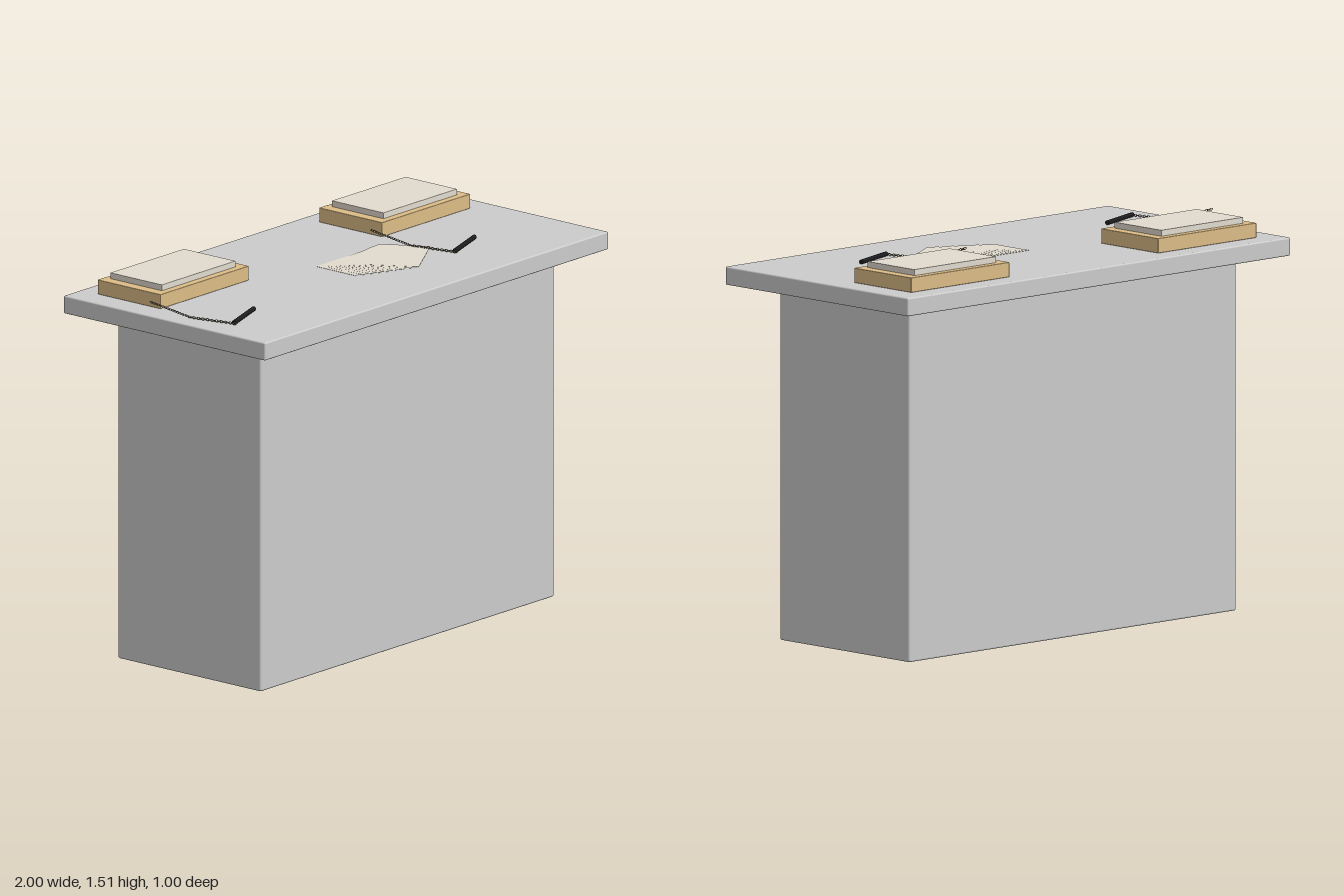
import * as THREE from 'three';
import { RoundedBoxGeometry } from 'three/addons/geometries/RoundedBoxGeometry.js';

const mat = (color) => new THREE.MeshStandardMaterial({ color });
const TOP = 1.43; // height of the counter surface

export function createModel() {
  const model = new THREE.Group();
  model.name = 'counter';
  const grey = mat(0xcccccc);
  const wood = mat(0xdcbc86);
  const paper = mat(0xe2dccf);
  const black = mat(0x1c1c1e);
  const brass = mat(0x77705a);

  // Box given by its limits, with slightly eased edges
  function block(name, material, x0, x1, y0, y1, z0, z1, r, parent = model) {
    const geo = r > 0
      ? new RoundedBoxGeometry(x1 - x0, y1 - y0, z1 - z0, 2, r)
      : new THREE.BoxGeometry(x1 - x0, y1 - y0, z1 - z0);
    const mesh = new THREE.Mesh(geo, material);
    mesh.position.set((x0 + x1) / 2, (y0 + y1) / 2, (z0 + z1) / 2);
    mesh.name = name;
    parent.add(mesh);
    return mesh;
  }

  // Body and overhanging top
  block('body', grey, -0.855, 0.855, 0, 1.36, -0.355, 0.355, 0.008);
  block('counterTop', grey, -1, 1, 1.36, TOP, -0.5, 0.5, 0.006);

  // Wooden trays, each holding a stack of paper
  for (const side of [-1, 1]) {
    const tray = new THREE.Group();
    tray.name = side > 0 ? 'leftTray' : 'rightTray';
    tray.position.x = side * 0.645;
    block('trayBase', wood, -0.257, 0.257, TOP, 1.487, -0.415, -0.102, 0.003, tray);
    block('paperStack', paper, -0.214, 0.214, 1.486, 1.51, -0.387, -0.132, 0, tray);
    model.add(tray);
  }

  // Pens, each on a chain of small links
  const linkGeo = new THREE.TorusGeometry(0.0045, 0.0014, 5, 8).scale(1.35, 1, 1);
  const penDir = new THREE.Vector3(0.2, 0, -0.07).normalize();
  for (const x of [-0.89, 0.395]) {
    const set = new THREE.Group();
    set.name = 'penOnChain';
    set.position.set(x, 0, 0);

    const pen = new THREE.Mesh(new THREE.CylinderGeometry(0.009, 0.009, 0.208, 10), black);
    pen.name = 'pen';
    pen.position.set(0.1, TOP + 0.009, 0.216);
    pen.quaternion.setFromUnitVectors(new THREE.Vector3(0, 1, 0), penDir);
    set.add(pen);

    const path = new THREE.CurvePath();
    const pts = [[0.002, 1.437, 0.255], [-0.042, 1.437, 0.07], [-0.108, 1.485, -0.065]]
      .map((p) => new THREE.Vector3(...p));
    path.add(new THREE.LineCurve3(pts[0], pts[1]));
    path.add(new THREE.LineCurve3(pts[1], pts[2]));
    const count = 36;
    for (let i = 0; i <= count; i++) {
      const link = new THREE.Mesh(linkGeo, brass);
      link.name = 'chainLink';
      link.position.copy(path.getPoint(i / count));
      link.quaternion.setFromUnitVectors(new THREE.Vector3(1, 0, 0), path.getTangent(i / count));
      link.rotateX(i % 2 ? Math.PI / 2 : 0);
      set.add(link);
    }
    model.add(set);
  }

  // Loose sheets spread in a fan
  const fan = new THREE.Group();
  fan.name = 'looseSheets';
  const sheetGeo = new THREE.BoxGeometry(0.285, 0.001, 0.195);
  const sheets = 9;
  for (let i = 0; i < sheets; i++) {
    const t = i / (sheets - 1);
    const sheet = new THREE.Mesh(sheetGeo, paper);
    sheet.name = 'sheet';
    sheet.position.set(0.062 + 0.168 * t, TOP + 0.0008 + i * 0.0003, 0.067 + 0.05 * t);
    sheet.rotation.y = 0.55 * t;
    fan.add(sheet);
  }
  model.add(fan);

  return model;
}
